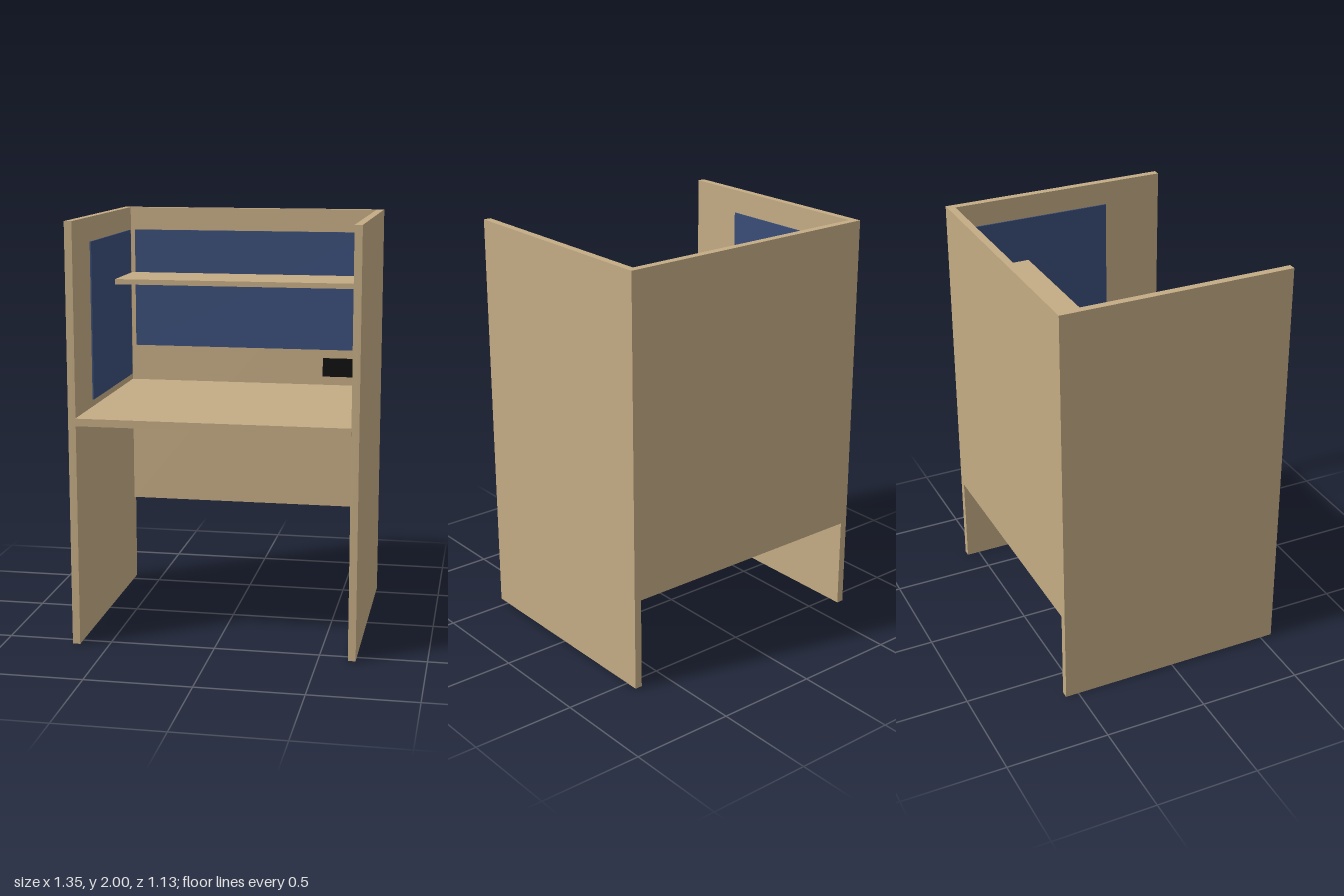
import * as THREE from 'three';

export function createModel() {
  const group = new THREE.Group();
  const mat = (name, color) => {
    const m = new THREE.MeshStandardMaterial({ color });
    m.name = name;
    return m;
  };
  const wood = mat('light wood', 0xc4ab84);
  const fabric = mat('blue fabric', 0x3a4d78);
  const black = mat('black plastic', 0x0e0e0e);

  // box from its min and max corners
  const box = (name, material, [x0, y0, z0], [x1, y1, z1]) => {
    const mesh = new THREE.Mesh(new THREE.BoxGeometry(x1 - x0, y1 - y0, z1 - z0), material);
    mesh.position.set((x0 + x1) / 2, (y0 + y1) / 2, (z0 + z1) / 2);
    mesh.name = name;
    group.add(mesh);
    return mesh;
  };

  const inner = 0.638, outer = 0.674, back = -0.565, wall = -0.528;

  // side walls with their pinboards and rear foot pads
  for (const [side, s] of [['left', 1], ['right', -1]]) {
    const pair = (name, m, xa, xb, ys, zs) => box(side + name, m,
      [Math.min(s * xa, s * xb), ys[0], zs[0]], [Math.max(s * xa, s * xb), ys[1], zs[1]]);
    pair('Wall', wood, inner, outer, [0.002, 2], [back, 0.559]);
    pair('Pinboard', fabric, inner - 0.007, inner, [1.13, 1.885], [-0.495, 0.265]);
    pair('FootPad', black, inner + 0.008, outer - 0.008, [0, 0.002], [-0.52, -0.48]);
  }

  // back wall and its pinboard
  box('backWall', wood, [-inner, 0.45, back], [inner, 2, wall]);
  box('backPinboard', fabric, [-0.615, 1.28, wall], [0.615, 1.885, wall + 0.007]);

  // desk top, shelf and the strip beneath the shelf
  box('deskTop', wood, [-inner, 1.06, wall], [inner, 1.096, 0.565]);
  box('shelf', wood, [-inner, 1.638, wall], [inner, 1.664, -0.163]);
  box('shelfStrip', wood, [-0.59, 1.625, -0.5], [0.59, 1.638, -0.46]);

  // power outlet and the small cable block under the desk
  box('powerOutlet', black, [0.375, 1.14, wall], [0.587, 1.236, wall + 0.005]);
  box('cableBlock', wood, [0.62, 0.92, wall], [inner, 0.962, wall + 0.025]);

  return group;
}
